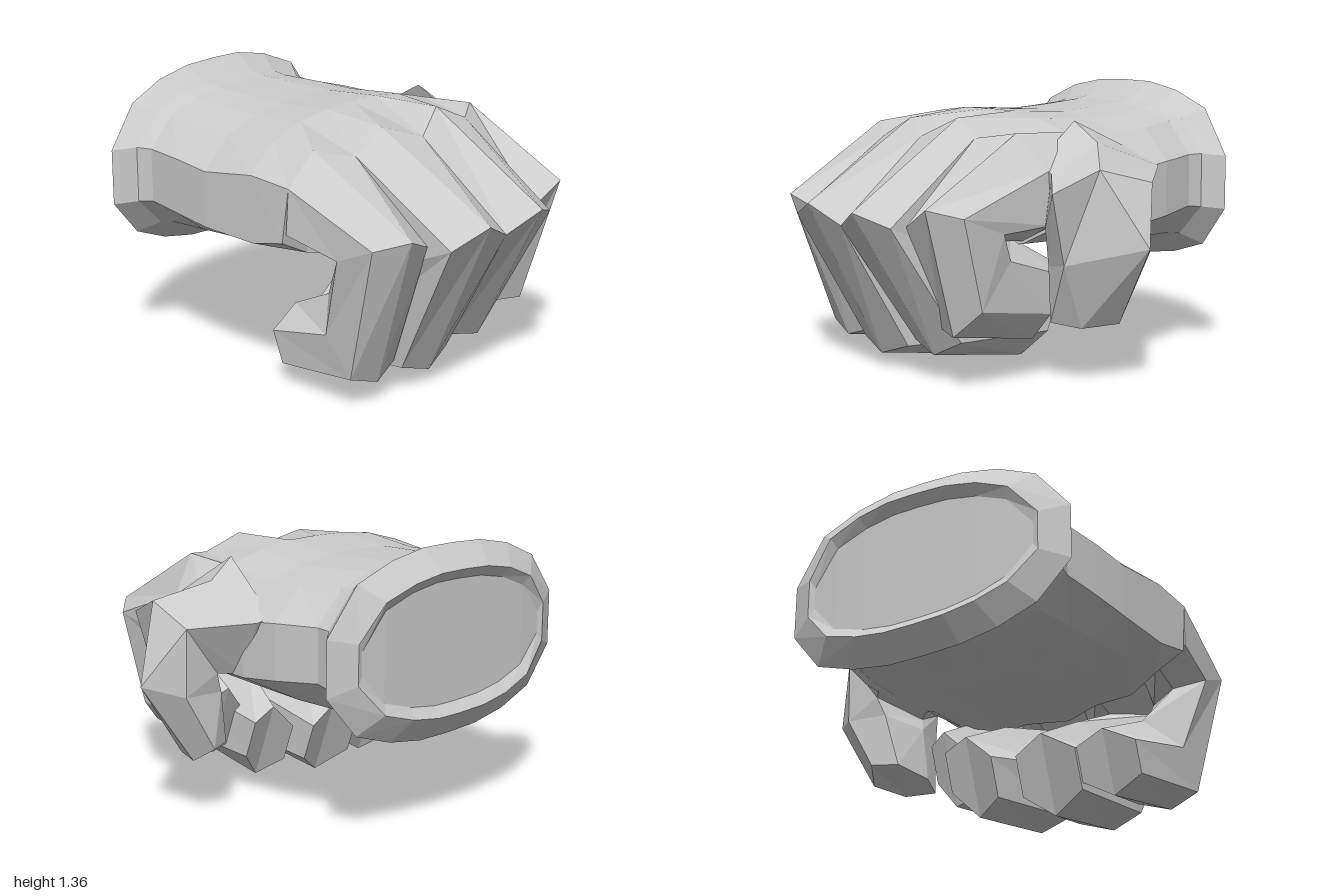
import * as THREE from 'three';

const material = new THREE.MeshStandardMaterial({ color: 0xcccccc, flatShading: true });

// Skin a list of equal-length rings and close both ends with strips.
function loft(name, rings) {
  const pos = [];
  const quad = (a, b, c, d) => pos.push(...a, ...b, ...c, ...a, ...c, ...d);
  const n = rings[0].length;
  for (let r = 0; r + 1 < rings.length; r++) {
    const a = rings[r], b = rings[r + 1];
    for (let i = 0; i < n; i++) {
      const j = (i + 1) % n;
      quad(b[i], b[j], a[j], a[i]);
    }
  }
  const first = rings[0], last = rings[rings.length - 1];
  for (let i = 0; i < n / 2 - 1; i++) {
    const k = n - 1 - i;
    quad(first[i], first[i + 1], first[k - 1], first[k]);
    quad(last[i], last[k], last[k - 1], last[i + 1]);
  }
  const geometry = new THREE.BufferGeometry();
  geometry.setAttribute('position', new THREE.Float32BufferAttribute(pos, 3));
  geometry.computeVertexNormals();
  const mesh = new THREE.Mesh(geometry, material);
  mesh.name = name;
  return mesh;
}

// Lens-shaped section: domed top and bottom joined by short upright sides.
const across = [0, 0.11, 0.24, 0.37, 0.5, 0.62, 0.75, 0.89, 1];
const dome = [0, 0.6, 0.85, 0.97, 1, 1, 0.9, 0.67, 0];
function section([z, xl, xr, top, sideTop, sideBottom, bottom, sweep]) {
  const arc = (side, peak) => across.map((t, i) => [
    xl + (xr - xl) * t,
    side + (peak - side) * dome[i],
    z + sweep * (1 - dome[i]),
  ]);
  return [...arc(sideTop, top), ...arc(sideBottom, bottom).reverse()];
}

// Knuckle line shared by the palm and the fingers.
const knuckleLine = [
  [-0.94, 1.02, 0.26], [-0.78, 1.17, 0.27], [-0.6, 1.12, 0.37], [-0.4, 1.22, 0.36], [-0.2, 1.15, 0.45],
  [0, 1.25, 0.38], [0.18, 1.17, 0.42], [0.36, 1.2, 0.32], [0.51, 1.03, 0.25],
];

// Per finger: left, ridge and right points at the knuckle, the lower bend and the tip.
const fingers = [
  { name: 'littleFinger', size: 0.8, rows: [
    [[-0.92, 0.81, 0.72], [-0.78, 0.84, 0.83], [-0.6, 0.77, 0.78]],
    [[-0.84, 0.15, 0.53], [-0.68, 0.1, 0.56], [-0.52, 0.15, 0.53]],
    [[-0.77, 0.1, 0.06], [-0.6, 0.04, 0.11], [-0.45, 0.12, 0.05]]] },
  { name: 'ringFinger', size: 1, rows: [
    [[-0.6, 0.77, 0.91], [-0.4, 0.85, 0.98], [-0.2, 0.76, 0.93]],
    [[-0.51, 0.12, 0.57], [-0.34, 0.07, 0.6], [-0.16, 0.13, 0.57]],
    [[-0.46, 0.08, 0.05], [-0.28, 0, 0.11], [-0.14, 0.1, 0.04]]] },
  { name: 'middleFinger', size: 1, rows: [
    [[-0.2, 0.76, 0.93], [-0.01, 0.85, 1], [0.18, 0.79, 0.92]],
    [[-0.11, 0.17, 0.56], [0.07, 0.13, 0.59], [0.23, 0.21, 0.55]],
    [[0, 0.13, 0.04], [0.14, 0.07, 0.1], [0.26, 0.2, 0.03]]] },
  { name: 'indexFinger', size: 0.95, rows: [
    [[0.18, 0.79, 0.83], [0.36, 0.89, 0.86], [0.48, 0.85, 0.73]],
    [[0.17, 0.28, 0.62], [0.32, 0.27, 0.67], [0.45, 0.4, 0.6]],
    [[0.2, 0.24, 0.2], [0.34, 0.2, 0.2], [0.43, 0.33, 0.16]]] },
];

// Direction and depth from the outer ridge to the inner ridge at each stage.
const depth = [[0, -0.54, -0.04], [0, -0.2, -0.5], [0, 0.46, -0.36], [0, 0.38, -0.14]];

function hexagon([l, o, r], d, size) {
  const move = (p, k) => p.map((v, i) => v + d[i] * k * size);
  return [l, o, r, move(r, 0.5), move(o, 1), move(l, 0.5)];
}

export function createModel() {
  const hand = new THREE.Group();
  hand.name = 'hand';

  // Palm with flared cuff and shallow recessed end, running from the wrist to the knuckles
  const rows = [
    [-0.96, -0.77, 0.42, 1.2, 0.95, 0.84, 0.62, 0.02],
    [-1, -0.8, 0.45, 1.25, 0.99, 0.8, 0.57, 0.05],
    [-0.91, -0.93, 0.58, 1.36, 1.02, 0.75, 0.45, 0.03],
    [-0.8, -0.84, 0.49, 1.28, 1.03, 0.76, 0.53, 0],
    [-0.72, -0.82, 0.48, 1.265, 1.03, 0.77, 0.54, 0],
    [-0.5, -0.86, 0.54, 1.25, 1.02, 0.75, 0.57, 0],
    [-0.3, -0.89, 0.56, 1.24, 1.0, 0.73, 0.6, 0],
    [0.02, -0.92, 0.53, 1.26, 1.04, 0.72, 0.64, 0],
  ].map(section);
  const underside = knuckleLine.map(([x, , z], i) => [x, 0.76 - 0.13 * dome[i], z - 0.04]).reverse();
  hand.add(loft('palmAndCuff', [...rows, [...knuckleLine, ...underside]]));

  // Four curled fingers
  fingers.forEach(({ name, size, rows: bends }, f) => {
    const base = knuckleLine.slice(f * 2, f * 2 + 3);
    hand.add(loft(name, [base, ...bends].map((row, i) => hexagon(row, depth[i], size))));
  });

  // Thumb bending outward, then down
  const thumb = [
    [[0.39, 1.24, -0.02], [0.42, 1.06, 0.24], [0.38, 0.78, 0.22], [0.33, 0.68, 0], [0.45, 0.73, -0.28], [0.5, 1.03, -0.43]],
    [[0.53, 1.145, -0.04], [0.53, 1.02, 0.25], [0.46, 0.77, 0.22], [0.42, 0.67, 0.02], [0.52, 0.73, -0.25], [0.57, 1.01, -0.41]],
    [[0.74, 1.05, 0.14], [0.67, 0.95, 0.37], [0.51, 0.77, 0.27], [0.48, 0.67, 0.08], [0.6, 0.73, -0.16], [0.78, 0.97, -0.16]],
    [[0.93, 0.69, 0], [0.63, 0.6, 0.26], [0.5, 0.58, 0.24], [0.46, 0.6, 0.06], [0.56, 0.63, -0.14], [0.78, 0.64, -0.15]],
    [[0.67, 0.29, -0.06], [0.6, 0.28, 0.12], [0.47, 0.3, 0.2], [0.44, 0.33, 0.08], [0.5, 0.36, -0.1], [0.62, 0.36, -0.16]],
  ];
  hand.add(loft('thumb', thumb.map((ring) => ring.reverse())));

  return hand;
}
